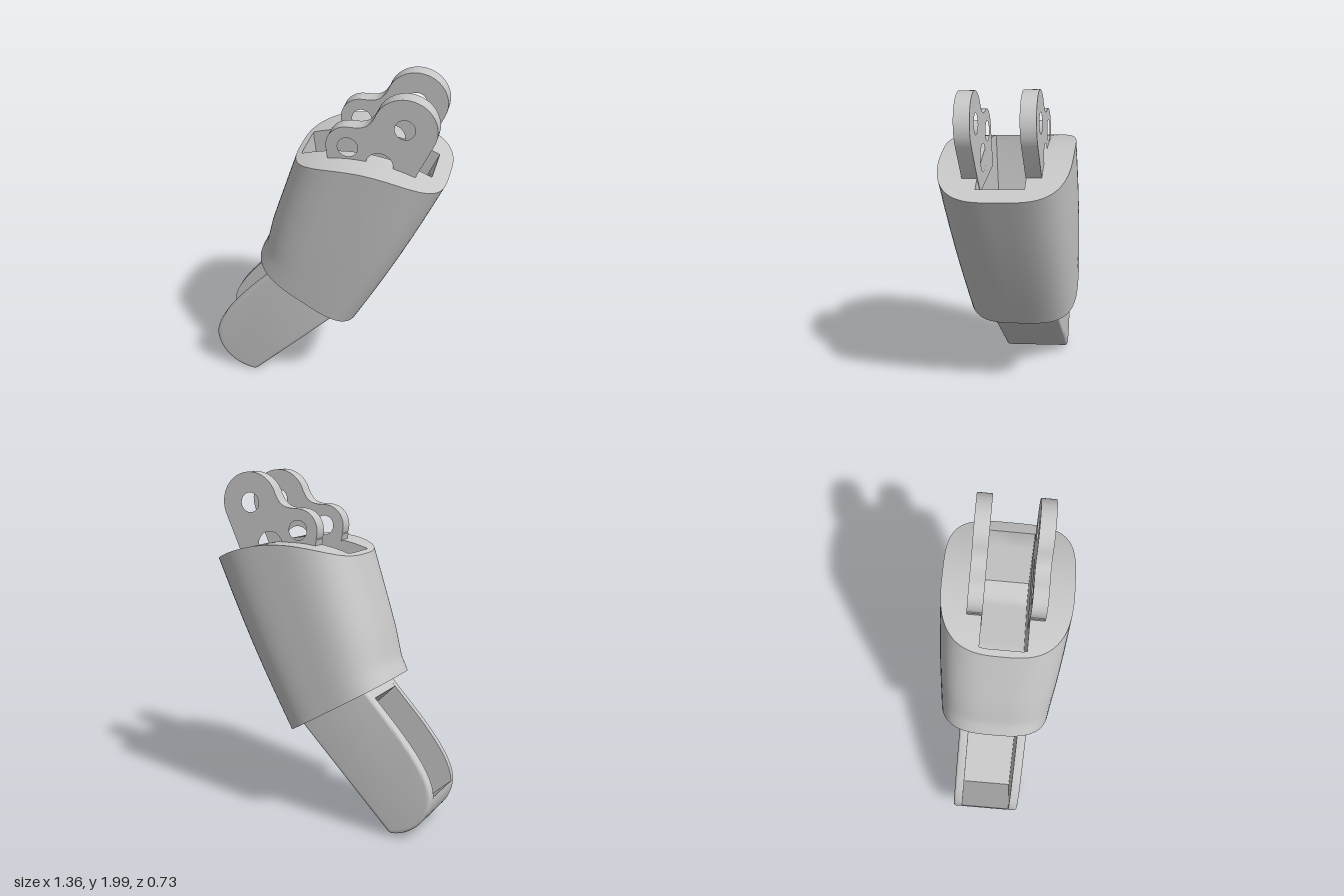
import * as THREE from 'three';
import { toCreasedNormals } from 'three/addons/utils/BufferGeometryUtils.js';

const lerp = THREE.MathUtils.lerp;

// Joins closed rings of points, each ring(angle) -> [x, y, z], into one skin.
function loft(rings, sides) {
  const pos = [], index = [];
  rings.forEach((ring, i) => {
    for (let j = 0; j < sides; j++) {
      pos.push(...ring((j / sides) * Math.PI * 2));
      if (i === 0) continue;
      const k = (j + 1) % sides, a = (i - 1) * sides + j, b = (i - 1) * sides + k;
      const c = i * sides + j, d = i * sides + k;
      index.push(a, c, b, b, c, d);
    }
  });
  const g = new THREE.BufferGeometry();
  g.setAttribute('position', new THREE.Float32BufferAttribute(pos, 3));
  g.setIndex(index);
  return toCreasedNormals(g, 0.5);
}

// Crowned top surface of the body
const crown = (x) => 1.615 - 0.03 * (x - 0.2) - 0.545 * (x - 0.2) ** 2;

// Floor of the pocket between the lugs
const FLOOR = [[-0.12, 1.54], [-0.075, 1.2], [0.03, 1.2], [0.35, 1.14], [0.45, 1.19], [0.6, 1.515]];
function pocketFloor(x) {
  const i = Math.max(1, FLOOR.findIndex((p) => x <= p[0] + 1e-6));
  const [x0, y0] = FLOOR[i - 1], [x1, y1] = FLOOR[i];
  return lerp(y0, y1, (x - x0) / (x1 - x0));
}

// Rounded-square section, softer on the -x side
function section(a) {
  const c = Math.cos(a), s = Math.sin(a), n = c < 0 ? 3 : 3.5;
  const r = (Math.abs(c) ** n + Math.abs(s) ** n) ** (-1 / n);
  return [c * r, s * r];
}

// Point on the outer body at height t; k shrinks it towards the middle
function bodyPoint(a, t, k = 1) {
  const [u, v] = section(a).map((n) => n * k);
  const w = (u + 1) / 2, topX = lerp(-0.155, 0.68, w);
  const swell = Math.sin(Math.PI * t);
  const bulge = u < 0 ? -u * 0.013 * Math.exp(-(((t - 0.13) / 0.14) ** 2)) * Math.min(1, t * 10)
    : u * 0.015 * swell;
  return [
    lerp(lerp(-0.39, 0.195, w), topX, t) + bulge,
    lerp(lerp(0.885, 0.525, w), crown(topX), t),
    v * (lerp(0.32, 0.357, t) + 0.006 * swell),
  ];
}

// Rectangular mouth of the pocket
function mouth(a) {
  const c = Math.cos(a), s = Math.sin(a), m = Math.max(Math.abs(c), Math.abs(s));
  return [0.24 + (c / m) * 0.36, (s / m) * 0.127];
}

function bodyGeometry() {
  const rings = [(a) => bodyPoint(a, 0, 0)];
  for (const t of [0, 0.05, 0.1, 0.15, 0.22, 0.35, 0.5, 0.65, 0.8, 1]) rings.push((a) => bodyPoint(a, t));
  for (const k of [0.33, 0.66, 1]) {
    rings.push((a) => {
      const p = bodyPoint(a, 1), [mx, mz] = mouth(a), x = lerp(p[0], mx, k);
      return [x, crown(x), lerp(p[2], mz, k)];
    });
  }
  for (const k of [1, 0]) {
    rings.push((a) => {
      const [x, z] = mouth(a);
      return [x, pocketFloor(x), z * k];
    });
  }
  return loft(rings, 96);
}

// Hinge lug outline with two pin holes and a relief hole
function lugShape() {
  const s = new THREE.Shape();
  s.moveTo(0.05, 1.45);
  s.lineTo(0.05, 1.6);
  s.lineTo(0.042, 1.64);
  s.absarc(0.157, 1.685, 0.118, Math.PI + 0.35, Math.PI / 2, true);
  s.bezierCurveTo(0.23, 1.803, 0.27, 1.8, 0.308, 1.888);
  s.absarc(0.463, 1.82, 0.17, Math.PI - 0.41, -0.45, true);
  s.lineTo(0.53, 1.56);
  s.lineTo(0.47, 1.45);
  s.closePath();
  for (const [x, y, r] of [[0.462, 1.82, 0.055], [0.158, 1.685, 0.055], [0.33, 1.592, 0.075]]) {
    s.holes.push(new THREE.Path().absarc(x, y, r, 0, Math.PI * 2, true));
  }
  return s;
}

// Rounded end and straight back shared by the tip's cheeks and its core
function tipOutline() {
  const s = new THREE.Shape();
  s.moveTo(-0.68, 0.26);
  s.bezierCurveTo(-0.68, 0.13, -0.57, 0.02, -0.45, 0.015);
  s.lineTo(-0.435, 0.022);
  s.lineTo(0.16, 0.62);
  s.lineTo(-0.2, 0.89);
  s.lineTo(-0.29, 0.8);
  return s;
}

function cheekShape() {
  const s = tipOutline();
  s.bezierCurveTo(-0.42, 0.66, -0.68, 0.42, -0.68, 0.26);
  return s;
}

// Floor and both end walls of the channel in the tip
function coreShape() {
  const s = tipOutline();
  s.lineTo(-0.31, 0.777);
  s.lineTo(-0.045, 0.51);
  s.lineTo(-0.48, 0.075);
  s.closePath();
  return s;
}

// Side plate of the tip, its edge rounded on the outer side only
function cheekGeometry(side) {
  const b = 0.018, depth = 0.053 - b;
  const g = new THREE.ExtrudeGeometry(cheekShape(), {
    depth, curveSegments: 20, bevelEnabled: true, bevelSize: b, bevelThickness: b,
    bevelOffset: -b, bevelSegments: 4,
  });
  g.translate(0, 0, side > 0 ? 0.145 : -0.145 - depth);
  const p = g.attributes.position;
  for (let i = 0; i < p.count; i++) {
    const z = p.getZ(i);
    p.setZ(i, side > 0 ? Math.max(z, 0.145) : Math.min(z, -0.145));
  }
  return toCreasedNormals(g, 0.6);
}

function slab(shape, z0, depth) {
  const g = new THREE.ExtrudeGeometry(shape, { depth, bevelEnabled: false, curveSegments: 32 });
  g.translate(0, 0, z0);
  return toCreasedNormals(g, 0.5);
}

export function createModel() {
  const model = new THREE.Group();
  model.name = 'hingedSegment';
  const grey = new THREE.MeshStandardMaterial({ color: 0xc8c8c8 });
  grey.name = 'lightGrey';

  // The whole piece leans slightly towards the front
  const lean = new THREE.Group();
  lean.name = 'segment';
  lean.rotation.x = 0.055;
  lean.position.z = -0.077;
  model.add(lean);

  const add = (name, geometry) => {
    const mesh = new THREE.Mesh(geometry, grey);
    mesh.name = name;
    lean.add(mesh);
  };

  add('body', bodyGeometry());
  add('tipCore', slab(coreShape(), -0.145, 0.29));
  for (const [side, label] of [[1, 'front'], [-1, 'back']]) {
    add(label + 'Lug', slab(lugShape(), side > 0 ? 0.125 : -0.208, 0.083));
    add(label + 'TipCheek', cheekGeometry(side));
  }
  return model;
}
